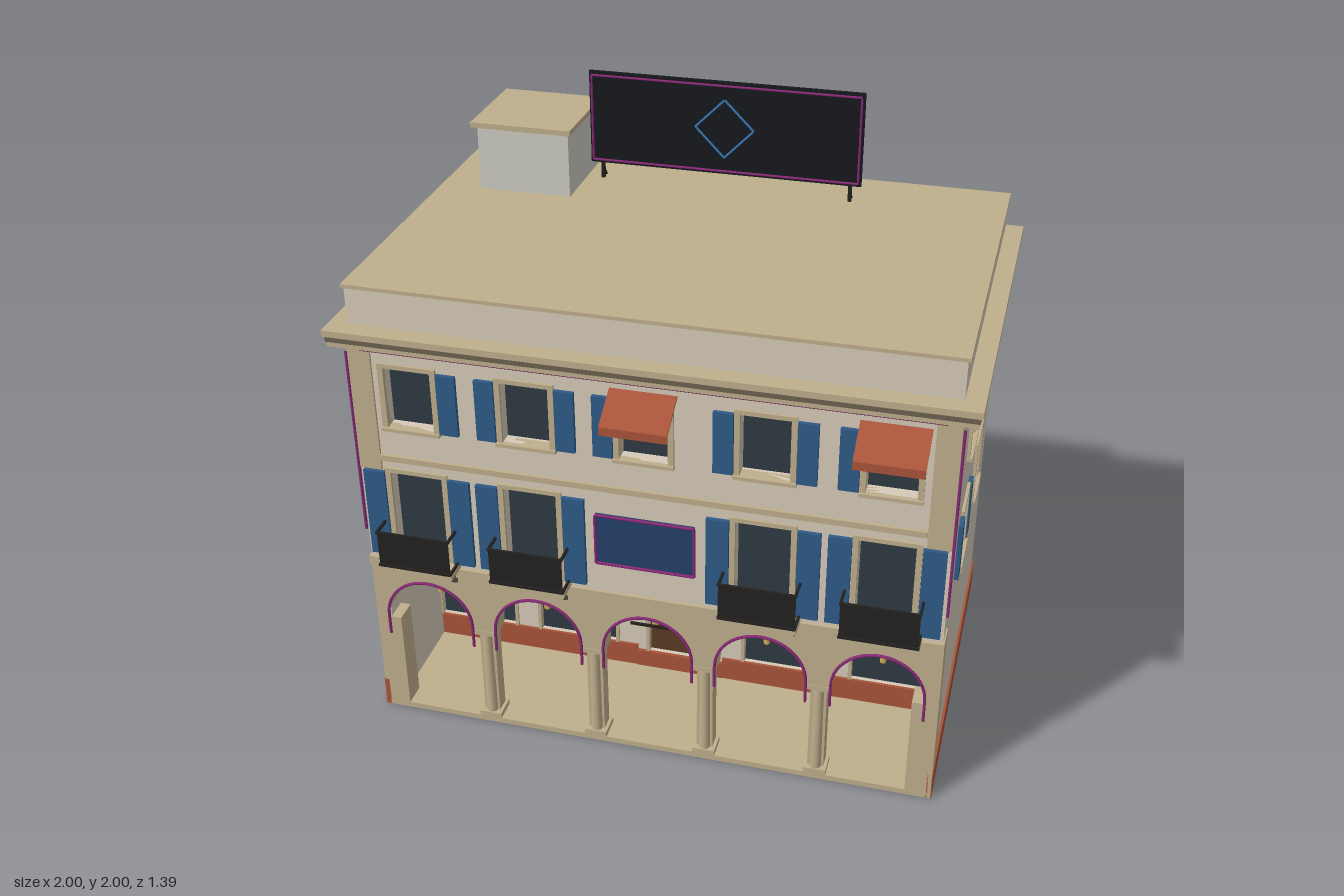
import * as THREE from 'three';

const mat = (color, side = THREE.FrontSide) => new THREE.MeshStandardMaterial({ color, side });
const CREAM = mat(0xd6cab8), TAN = mat(0xbfae8c), RED = mat(0xa8543a), BLUE = mat(0x2f5a88);
const GLASS = mat(0x2e3a42), DARK = mat(0x22211f), NEON = mat(0x8a2a78), BROWN = mat(0x5a3a24);
const GREY = mat(0xcccac2), BAND = mat(0x6e6150), NAVY = mat(0x24406a), BOARD = mat(0x16181d);
const LAMP = mat(0xe0b860), GLOW = mat(0x3a78b8), RAIL = mat(0x22211f, THREE.DoubleSide);

function add(parent, geo, material, name) {
  const m = new THREE.Mesh(geo, material);
  m.name = name;
  parent.add(m);
  return m;
}

// Box given by its minimum and maximum on each axis
function box(parent, name, material, x0, x1, y0, y1, z0, z1) {
  const m = add(parent, new THREE.BoxGeometry(x1 - x0, y1 - y0, z1 - z0), material, name);
  m.position.set((x0 + x1) / 2, (y0 + y1) / 2, (z0 + z1) / 2);
  return m;
}

function rect(path, x0, x1, y0, y1) {
  path.moveTo(x0, y0);
  path.lineTo(x1, y0);
  path.lineTo(x1, y1);
  path.lineTo(x0, y1);
  path.closePath();
  return path;
}

// Wall whose outer face lies at z = 0, with rectangular holes [x0, x1, y0, y1]
function wall(parent, name, material, size, holes, depth) {
  const shape = rect(new THREE.Shape(), ...size);
  holes.forEach(h => shape.holes.push(rect(new THREE.Path(), ...h)));
  const geo = new THREE.ExtrudeGeometry(shape, { depth, bevelEnabled: false });
  geo.translate(0, 0, -depth);
  return add(parent, geo, material, name);
}

function tube(parent, name, material, pts, r) {
  for (let i = 0; i < pts.length - 1; i++) {
    const a = new THREE.Vector3(...pts[i]), b = new THREE.Vector3(...pts[i + 1]);
    add(parent, new THREE.TubeGeometry(new THREE.LineCurve3(a, b), 1, r, 6), material, name);
  }
}

// Window in wall coordinates: recessed pane, surround, sill and shutters
function windowUnit(parent, o) {
  const { x, y0, y1, hw, closed, left, right, sw = 0.062, sill = true } = o;
  const g = new THREE.Group();
  g.name = 'window';
  g.position.x = x;
  parent.add(g);
  box(g, closed ? 'closedShutter' : 'glass', closed ? BLUE : GLASS, -hw, hw, y0, y1, -0.05, -0.04);
  for (const s of [-1, 1]) {
    const e = s * (hw + 0.009);
    box(g, 'jamb', TAN, e - 0.009, e + 0.009, y0, y1, -0.02, 0.01);
    if (s < 0 ? left : right) {
      const c = s * (hw + 0.02 + sw / 2);
      box(g, 'shutter', BLUE, c - sw / 2, c + sw / 2, y0, y1, 0, 0.014);
    }
  }
  box(g, 'lintel', TAN, -hw - 0.018, hw + 0.018, y1, y1 + 0.015, -0.02, 0.01);
  if (sill) box(g, 'sill', TAN, -hw - 0.02, hw + 0.02, y0 - 0.012, y0, -0.03, 0.018);
}

const hole = o => [o.x - o.hw, o.x + o.hw, o.y0, o.y1];
const BAYS = [-0.755, -0.375, 0, 0.375, 0.755];

function upperFacade(parent) {
  const g = new THREE.Group();
  g.name = 'upperFacade';
  g.position.z = 0.58;
  parent.add(g);
  const wins = [];
  BAYS.forEach((x, i) => {
    wins.push({ x, y0: 1.145, y1: 1.355, hw: 0.077, left: i > 0, right: i !== 2 && i !== 4 });
    if (i !== 2) wins.push({ x, y0: 0.655, y1: 0.975, hw: 0.087, left: true, right: true, sw: 0.072, sill: false });
  });
  wall(g, 'upperWall', CREAM, [-0.945, 0.945, 0.6, 1.485], wins.map(hole), 0.05);
  wins.forEach(w => windowUnit(g, w));
  box(g, 'stringCourse', TAN, -0.87, 0.87, 1.018, 1.038, 0, 0.012);
  box(g, 'floorBand', TAN, -0.95, 0.95, 0.6, 0.635, -0.08, 0.012);
  for (const s of [-1, 1]) {
    box(g, 'cornerPilaster', TAN, s * 0.908 - 0.037, s * 0.908 + 0.037, 0.98, 1.43, 0, 0.008);
    tube(g, 'cornerNeon', NEON, [[s * 0.95, 0.74, 0.006], [s * 0.95, 1.4, 0.006]], 0.005);
  }
  tube(g, 'friezeNeon', NEON, [[-0.9, 1.412, 0.008], [0.9, 1.412, 0.008]], 0.005);
  // Central panel
  box(g, 'centrePanel', NAVY, -0.16, 0.16, 0.75, 0.93, 0, 0.012);
  tube(g, 'panelNeon', NEON, [[-0.16, 0.75, 0.014], [0.16, 0.75, 0.014], [0.16, 0.93, 0.014],
    [-0.16, 0.93, 0.014], [-0.16, 0.75, 0.014]], 0.005);
  // Balconies
  for (const x of BAYS.filter(b => b !== 0)) {
    const b = new THREE.Group();
    b.name = 'balcony';
    b.position.x = x;
    g.add(b);
    box(b, 'balconySlab', TAN, -0.125, 0.125, 0.637, 0.655, 0, 0.08);
    box(b, 'balconySlabLower', TAN, -0.115, 0.115, 0.622, 0.637, 0, 0.065);
    add(b, new THREE.PlaneGeometry(0.245, 0.13), RAIL, 'railPanel').position.set(0, 0.722, 0.08);
    for (const y of [0.661, 0.786]) {
      box(b, 'frontRail', DARK, -0.125, 0.125, y - 0.004, y + 0.004, 0.077, 0.086);
      for (const s of [-1, 1]) box(b, 'sideRail', DARK, s * 0.121 - 0.004, s * 0.121 + 0.004, y - 0.004, y + 0.004, 0, 0.086);
    }
    for (const s of [-1, 1]) {
      const prof = new THREE.Shape([[0, 0.575], [0.018, 0.585], [0.055, 0.622], [0, 0.622]].map(p => new THREE.Vector2(...p)));
      const br = add(b, new THREE.ExtrudeGeometry(prof, { depth: 0.016, bevelEnabled: false }), BAND, 'bracket');
      br.rotation.y = -Math.PI / 2;
      br.position.x = s * 0.102 + 0.008;
    }
  }
  // Awnings
  for (const x of [0, 0.755]) {
    const prof = new THREE.Shape([[0, 1.385], [0.118, 1.315], [0.118, 1.287], [0.113, 1.287], [0.113, 1.311], [0, 1.378]]
      .map(p => new THREE.Vector2(...p)));
    const a = add(g, new THREE.ExtrudeGeometry(prof, { depth: 0.21, bevelEnabled: false }), RED, 'awning');
    a.rotation.y = -Math.PI / 2;
    a.position.x = x + 0.105;
  }
}

function arcade(parent) {
  const g = new THREE.Group();
  g.name = 'arcade';
  parent.add(g);
  // Arched front
  const s = new THREE.Shape();
  s.moveTo(-0.95, 0.6);
  s.lineTo(-0.95, 0.385);
  for (const x of BAYS) {
    s.lineTo(x - 0.148, 0.385);
    s.absarc(x, 0.4, 0.148, Math.PI, 0, true);
    s.lineTo(x + 0.148, 0.385);
  }
  s.lineTo(0.95, 0.385);
  s.lineTo(0.95, 0.6);
  s.closePath();
  const front = add(g, new THREE.ExtrudeGeometry(s, { depth: 0.08, bevelEnabled: false, curveSegments: 24 }), TAN, 'archedFront');
  front.position.z = 0.5;
  for (const e of [-1, 1]) box(g, 'endPier', TAN, e * 0.9075 - 0.0425, e * 0.9075 + 0.0425, 0, 0.385, 0.5, 0.58);
  for (const x of [-0.565, -0.188, 0.188, 0.565]) {
    box(g, 'pier', TAN, x - 0.027, x + 0.027, 0.02, 0.385, 0.51, 0.56);
    add(g, new THREE.CylinderGeometry(0.017, 0.019, 0.33, 16), TAN, 'column').position.set(x, 0.205, 0.56);
    box(g, 'capital', TAN, x - 0.038, x + 0.038, 0.37, 0.388, 0.5, 0.582);
    box(g, 'columnBase', TAN, x - 0.038, x + 0.038, 0.018, 0.04, 0.5, 0.582);
  }
  box(g, 'arcadeFloor', TAN, -0.945, 0.945, 0, 0.02, 0.13, 0.58);
  box(g, 'arcadeCeiling', CREAM, -0.93, 0.93, 0.6, 0.62, 0.11, 0.57);
  // Shop fronts and door
  const back = new THREE.Group();
  back.name = 'shopFront';
  back.position.z = 0.17;
  g.add(back);
  const holes = BAYS.map(x => (x ? [x - 0.14, x + 0.14, 0.105, 0.455] : [-0.11, 0.11, 0.085, 0.412]));
  wall(back, 'shopWall', CREAM, [-0.93, 0.93, 0, 0.6], holes, 0.04);
  holes.forEach(([x0, x1, y0, y1], i) => {
    box(back, i === 2 ? 'door' : 'shopGlass', i === 2 ? BROWN : GLASS, x0, x1, y0, y1, -0.035, -0.015);
    for (const x of [x0 - 0.006, x1 + 0.006]) box(back, 'shopJamb', TAN, x - 0.006, x + 0.006, y0, y1, -0.045, 0.008);
    box(back, 'shopLintel', TAN, x0 - 0.012, x1 + 0.012, y1, y1 + 0.012, -0.045, 0.008);
  });
  for (const e of [-1, 1]) box(back, 'shopPlinth', RED, Math.min(e * 0.93, e * 0.155), Math.max(e * 0.93, e * 0.155), 0.02, 0.105, 0, 0.01);
  box(back, 'doorStep', RED, -0.155, 0.155, 0.02, 0.085, 0, 0.012);
  // Arch neon and lanterns
  for (const x of BAYS) {
    const path = new THREE.CurvePath(), arc = [];
    for (let i = 0; i <= 16; i++) {
      const a = Math.PI * (1 - i / 16);
      arc.push(new THREE.Vector3(x + 0.15 * Math.cos(a), 0.4 + 0.15 * Math.sin(a), 0.584));
    }
    const foot = v => new THREE.Vector3(v.x, 0.32, v.z);
    path.add(new THREE.LineCurve3(foot(arc[0]), arc[0]));
    path.add(new THREE.CatmullRomCurve3(arc));
    path.add(new THREE.LineCurve3(arc[16], foot(arc[16])));
    add(g, new THREE.TubeGeometry(path, 48, 0.005, 6), NEON, 'archNeon');
    add(g, new THREE.CylinderGeometry(0.015, 0.01, 0.036, 6), LAMP, 'lantern').position.set(x, 0.465, 0.48);
    add(g, new THREE.ConeGeometry(0.021, 0.016, 6), DARK, 'lanternCap').position.set(x, 0.49, 0.48);
    add(g, new THREE.CylinderGeometry(0.003, 0.003, 0.11, 6), DARK, 'lanternRod').position.set(x, 0.548, 0.48);
  }
  box(g, 'lanternBar', DARK, -0.08, 0.08, 0.453, 0.461, 0.495, 0.503);
}

function sideWall(parent, s, layout) {
  const g = new THREE.Group();
  g.name = s > 0 ? 'leftSide' : 'rightSide';
  g.rotation.y = s * Math.PI / 2;
  g.position.x = s * 0.945;
  parent.add(g);
  const wins = layout.map(([z, y0, y1, closed]) => ({ x: -s * z, y0, y1, closed, hw: 0.07, left: !closed, right: !closed }));
  const span = (a, b) => [Math.min(-s * a, -s * b), Math.max(-s * a, -s * b)];
  wall(g, 'sideWall', CREAM, [...span(-0.635, 0.575), 0, 1.485], wins.map(hole), 0.045);
  wins.forEach(w => windowUnit(g, w));
  box(g, 'plinth', RED, ...span(-0.637, 0.58), 0, 0.107, -0.01, 0.008);
}

function roof(parent) {
  box(parent, 'parapet', GREY, -0.94, 0.94, 1.485, 1.61, -0.635, 0.572).material = CREAM;
  box(parent, 'roofTop', TAN, -0.948, 0.948, 1.61, 1.622, -0.645, 0.578);
  // Three-layer cornice on the front and both sides
  for (const [y0, y1, o, m] of [[1.43, 1.446, 0.045, TAN], [1.446, 1.466, 0.048, BAND], [1.466, 1.487, 0.055, TAN]]) {
    box(parent, 'frontCornice', m, -0.945 - o, 0.945 + o, y0, y1, 0.57, 0.58 + o);
    for (const s of [-1, 1]) box(parent, 'sideCornice', m, s > 0 ? 0.94 : -0.945 - o, s > 0 ? 0.945 + o : -0.94, y0, y1, -0.69, 0.58);
  }
  box(parent, 'corniceMoulding', TAN, -0.95, 0.95, 1.417, 1.43, 0.57, 0.602);
  box(parent, 'roofHut', GREY, -0.805, -0.487, 1.62, 1.842, -0.56, -0.24);
  box(parent, 'roofHutCap', TAN, -0.823, -0.475, 1.842, 1.86, -0.575, -0.225);
  // Roof board
  const b = new THREE.Group();
  b.name = 'roofBoard';
  b.position.z = -0.44;
  parent.add(b);
  box(b, 'board', BOARD, -0.47, 0.467, 1.678, 2, -0.006, 0.006);
  tube(b, 'boardNeon', NEON, [[-0.46, 1.69, 0.012], [0.457, 1.69, 0.012], [0.457, 1.988, 0.012], [-0.46, 1.988, 0.012], [-0.46, 1.69, 0.012]], 0.004);
  tube(b, 'diamondOutline', GLOW, [[0, 1.738, 0.012], [0.1, 1.84, 0.012], [0, 1.94, 0.012], [-0.1, 1.84, 0.012], [0, 1.738, 0.012]], 0.004);
  for (const x of [-0.43, 0.43]) {
    box(b, 'boardPost', DARK, x - 0.006, x + 0.006, 1.62, 1.69, -0.006, 0.006);
    tube(b, 'boardBrace', DARK, [[x, 1.622, -0.032], [x, 1.66, 0]], 0.005);
  }
}

export function createModel() {
  const model = new THREE.Group();
  model.name = 'arcadedBuilding';
  box(model, 'backWall', CREAM, -0.945, 0.945, 0, 1.485, -0.637, -0.595);
  sideWall(model, 1, [[0.23, 1.145, 1.355, true], [-0.18, 1.145, 1.355, false],
    [0.23, 0.735, 0.935, false], [-0.18, 0.735, 0.935, true]]);
  sideWall(model, -1, [[0.23, 1.145, 1.355, false], [-0.18, 1.145, 1.355, false],
    [0.23, 0.735, 0.935, true], [-0.18, 0.735, 0.935, false]]);
  arcade(model);
  upperFacade(model);
  roof(model);
  return model;
}
